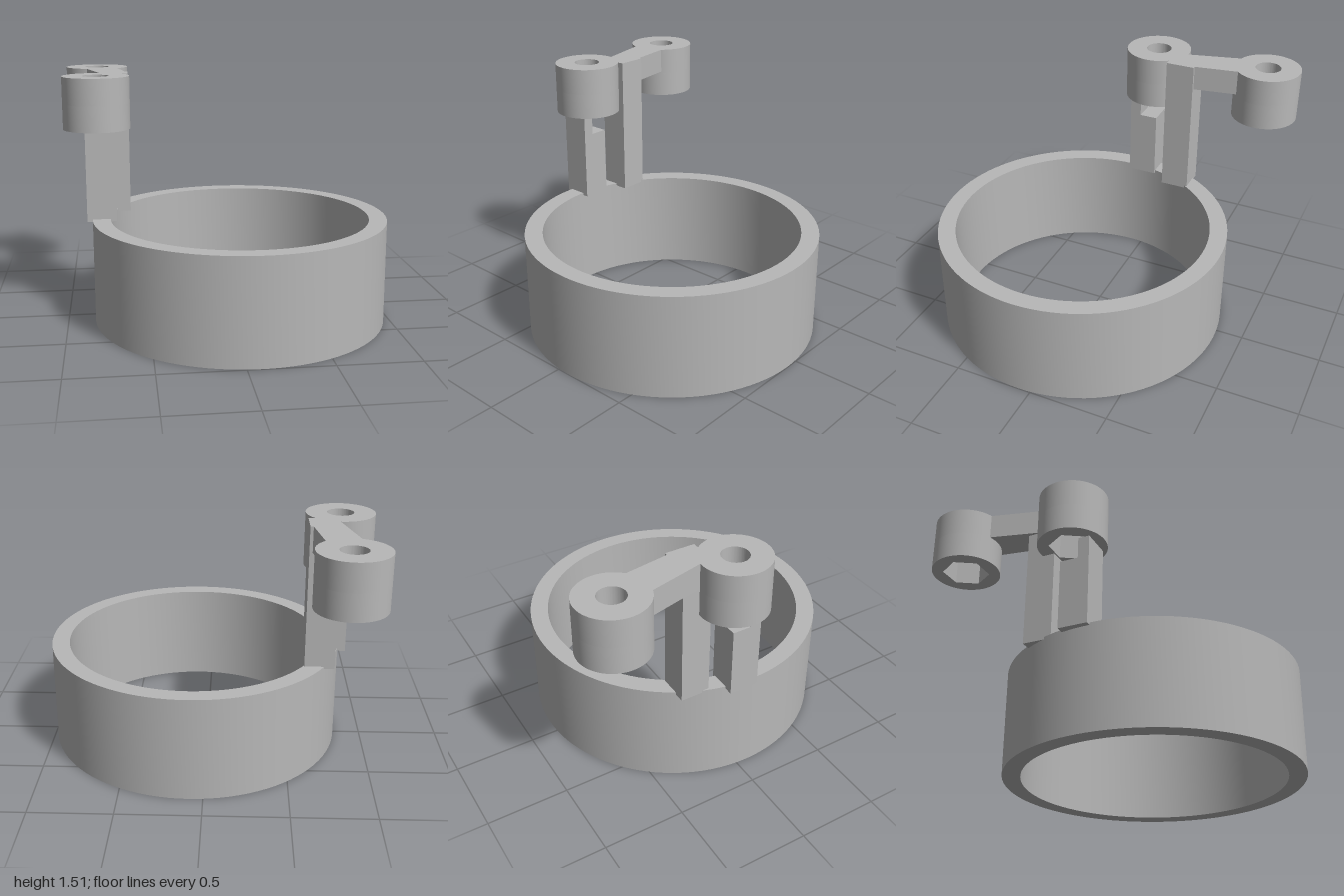
import * as THREE from 'three';
import { toCreasedNormals } from 'three/addons/utils/BufferGeometryUtils.js';

const TOP = 1.515;        // top of bosses, arm and tall post
const BOSS_BOTTOM = 1.19;
const POCKET_TOP = 1.35;  // ceiling of the hexagonal nut pocket
const POST_BOTTOM = 0.63; // posts sink slightly into the ring

export function createModel() {
  const group = new THREE.Group();
  const grey = new THREE.MeshStandardMaterial({ color: 0xb8b8b8 });
  grey.name = 'grey plastic';

  const add = (name, geometry, parent = group) => {
    const mesh = new THREE.Mesh(geometry, grey);
    mesh.name = name;
    parent.add(mesh);
    return mesh;
  };

  // Extrude a plan outline (x, -z) upward between two heights
  const slab = (shape, y0, y1) => {
    const g = new THREE.ExtrudeGeometry(shape, { depth: y1 - y0, bevelEnabled: false, curveSegments: 48 });
    g.rotateX(-Math.PI / 2);
    g.translate(0, y0, 0);
    return toCreasedNormals(g, 0.5);
  };

  const disc = (radius) => new THREE.Shape().absarc(0, 0, radius, 0, Math.PI * 2, false);

  const box = (x0, x1, y0, y1, z0, z1) =>
    new THREE.BoxGeometry(x1 - x0, y1 - y0, z1 - z0)
      .translate((x0 + x1) / 2, (y0 + y1) / 2, (z0 + z1) / 2);

  // Base ring
  const ringShape = disc(0.915);
  ringShape.holes.push(disc(0.805));
  add('baseRing', slab(ringShape, 0, 0.645)).position.set(0.083, 0, 0.083);

  // Bosses: round bolt hole above, hexagonal nut pocket below
  const hexagon = new THREE.Path(Array.from({ length: 6 }, (_, i) => {
    const a = i * Math.PI / 3;
    return new THREE.Vector2(0.14 * Math.cos(a), 0.14 * Math.sin(a));
  }));
  const upper = disc(0.207);
  upper.holes.push(disc(0.08));
  const lower = disc(0.207);
  lower.holes.push(hexagon);
  for (const [name, z] of [['frontBoss', -0.06], ['rearBoss', -0.793]]) {
    const boss = new THREE.Group();
    boss.name = name;
    boss.position.set(-0.793, 0, z);
    add(name + 'BoltHole', slab(upper, POCKET_TOP, TOP), boss);
    add(name + 'NutPocket', slab(lower, BOSS_BOTTOM, POCKET_TOP), boss);
    group.add(boss);
  }

  // Short post with a notch below the front boss
  add('shortPost', box(-0.865, -0.683, POST_BOTTOM, 1.06, -0.098, 0.085));
  add('shortPostTab', box(-0.865, -0.683, 1.06, BOSS_BOTTOM, 0.015, 0.085));

  // Tall post
  add('tallPost', box(-0.775, -0.593, POST_BOTTOM, TOP, -0.37, -0.19));

  // Slanted arm from the tall post to the rear boss
  const armShape = new THREE.Shape([
    [-0.775, 0.27], [-0.61, 0.36], [-0.657, 0.65], [-0.86, 0.61],
  ].map(([x, y]) => new THREE.Vector2(x, y)));
  add('arm', slab(armShape, 1.36, TOP));

  return group;
}
